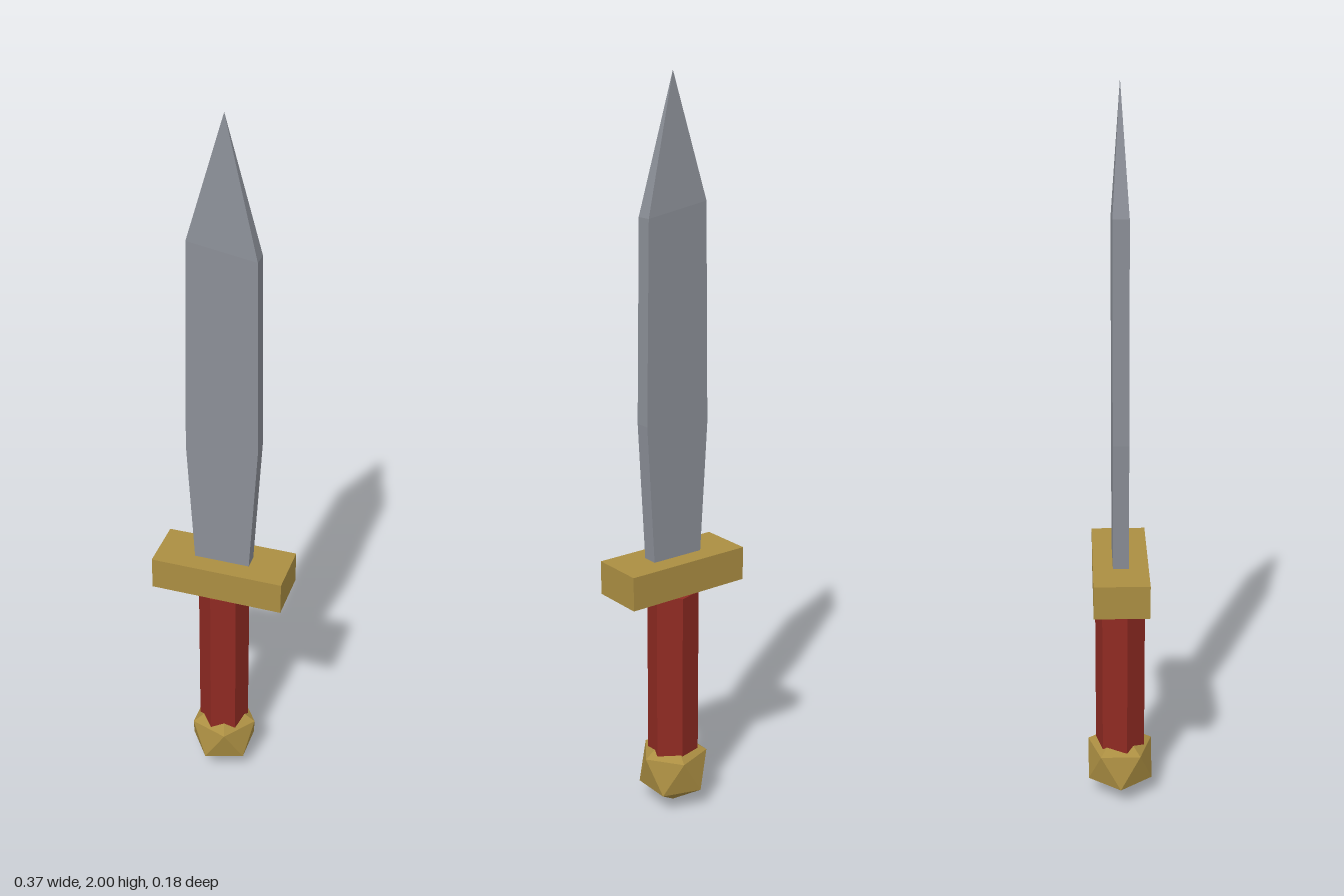
import * as THREE from 'three';
import { ConvexGeometry } from 'three/addons/geometries/ConvexGeometry.js';

const flat = (name, color) => {
  const m = new THREE.MeshStandardMaterial({ color, flatShading: true });
  m.name = name;
  return m;
};

// Blade: rectangular cross-sections joined in loops, closing to a point
function bladeGeometry() {
  // half width, half thickness, y on the left side, y on the right side
  const sections = [
    [0.074, 0.021, 0.70, 0.70],
    [0.098, 0.021, 1.12, 1.10],
    [0.090, 0.021, 1.65, 1.68],
    [0, 0, 2, 2],
  ];
  const corners = [[1, 1], [1, -1], [-1, -1], [-1, 1]];
  const positions = [];
  const point = (s, c) => {
    const [w, t, yLeft, yRight] = sections[s];
    const [sx, sz] = corners[c % 4];
    return [sx * w, sx > 0 ? yLeft : yRight, sz * t];
  };
  for (let s = 0; s < sections.length - 1; s++) {
    for (let c = 0; c < 4; c++) {
      const a = point(s, c), b = point(s, c + 1);
      const d = point(s + 1, c), e = point(s + 1, c + 1);
      positions.push(...a, ...b, ...e);
      if (s < sections.length - 2) positions.push(...a, ...e, ...d);
    }
  }
  const geometry = new THREE.BufferGeometry();
  geometry.setAttribute('position', new THREE.Float32BufferAttribute(positions, 3));
  geometry.computeVertexNormals();
  return geometry;
}

// Pommel: icosahedron standing on one of its corners
function pommelGeometry(r) {
  const points = [new THREE.Vector3(0, r, 0), new THREE.Vector3(0, -r, 0)];
  const ringRadius = r * 2 / Math.sqrt(5), ringHeight = r / Math.sqrt(5);
  for (let i = 0; i < 10; i++) {
    const a = i * Math.PI / 5;
    const y = i % 2 ? -ringHeight : ringHeight;
    points.push(new THREE.Vector3(Math.cos(a) * ringRadius, y, Math.sin(a) * ringRadius));
  }
  return new ConvexGeometry(points);
}

export function createModel() {
  const group = new THREE.Group();
  group.name = 'dagger';
  const steel = flat('steel', 0x8b8f97);
  const brass = flat('brass', 0xab8e42);
  const red = flat('redGrip', 0x8f2a22);

  const add = (name, geometry, material, y = 0) => {
    const mesh = new THREE.Mesh(geometry, material);
    mesh.name = name;
    mesh.position.y = y;
    group.add(mesh);
    return mesh;
  };

  add('blade', bladeGeometry(), steel);
  add('guard', new THREE.BoxGeometry(0.366, 0.093, 0.148), brass, 0.697);
  // Six-sided grip, turned so one edge lies on the diagonal
  add('grip', new THREE.CylinderGeometry(0.07, 0.07, 0.52, 6, 1, false, Math.PI / 4), red, 0.38);
  add('pommel', pommelGeometry(0.105), brass, 0.108).scale.y = 1.03;
  return group;
}
